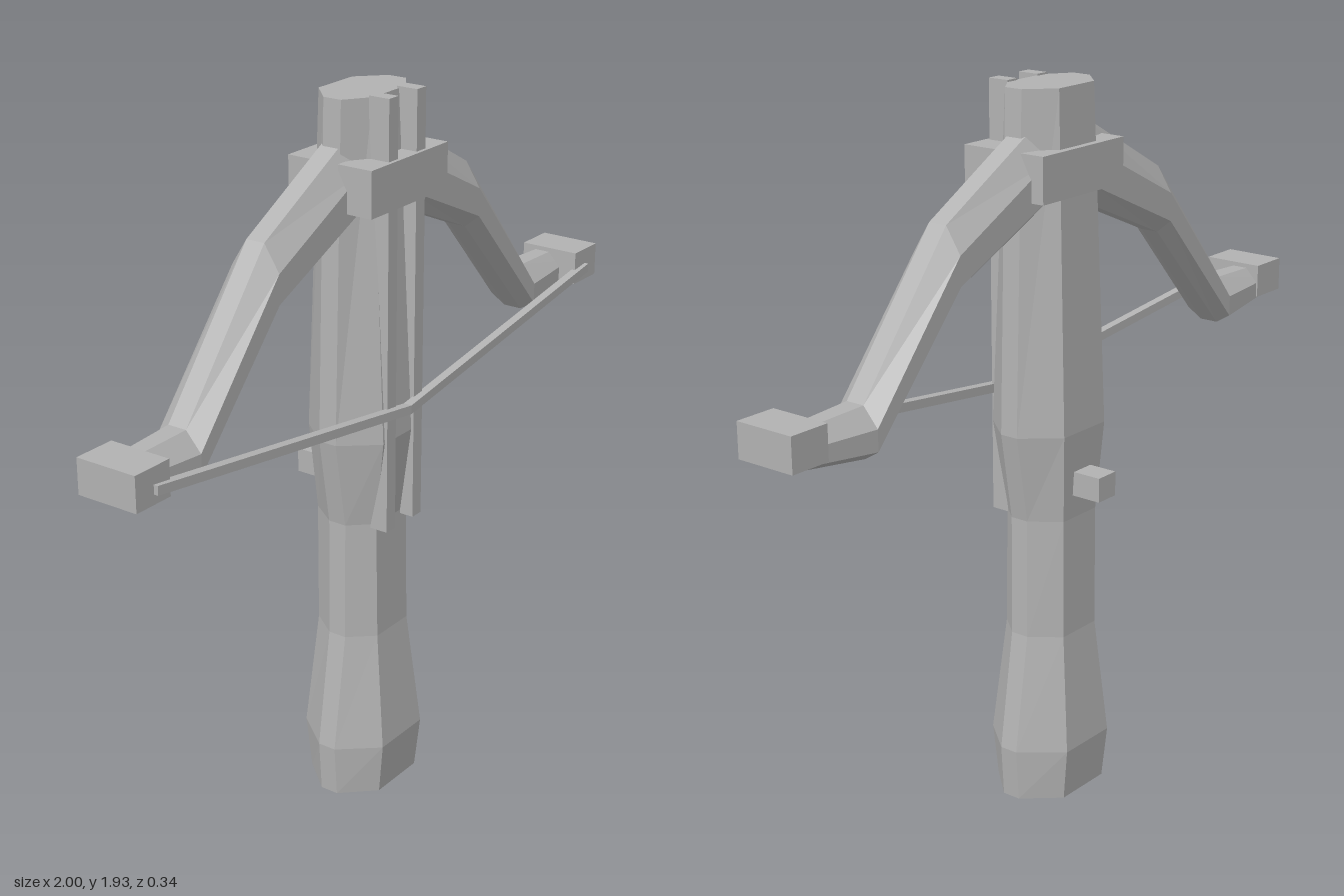
import * as THREE from 'three';

const grey = new THREE.MeshStandardMaterial({ color: 0xb2b2b2 });
grey.name = 'plain grey';

// Skin a list of rings (each counterclockwise seen from the direction of travel) with flat faces and end caps
function loft(rings) {
  const pos = [];
  const tri = (a, b, c) => pos.push(...a, ...b, ...c);
  const n = rings[0].length;
  for (let r = 0; r < rings.length - 1; r++) {
    const a = rings[r], b = rings[r + 1];
    for (let i = 0; i < n; i++) {
      const j = (i + 1) % n;
      tri(a[i], a[j], b[j]);
      tri(a[i], b[j], b[i]);
    }
  }
  const first = rings[0], last = rings[rings.length - 1];
  for (let i = 1; i < n - 1; i++) {
    tri(first[0], first[i + 1], first[i]);
    tri(last[0], last[i], last[i + 1]);
  }
  const g = new THREE.BufferGeometry();
  g.setAttribute('position', new THREE.Float32BufferAttribute(pos, 3));
  g.computeVertexNormals();
  return g;
}

export function createModel() {
  const model = new THREE.Group();
  model.name = 'crossbow';

  const add = (name, geometry) => {
    const mesh = new THREE.Mesh(geometry, grey);
    mesh.name = name;
    model.add(mesh);
    return mesh;
  };
  // Box given by its limits on each axis
  const box = (name, x0, x1, y0, y1, z0, z1) =>
    add(name, new THREE.BoxGeometry(x1 - x0, y1 - y0, z1 - z0))
      .position.set((x0 + x1) / 2, (y0 + y1) / 2, (z0 + z1) / 2);

  // Stock: octagonal sections as y, half width, half width of front flat, front z, back z
  const stock = [
    [0, 0.165, 0.085, 0.135, -0.095],
    [0.145, 0.175, 0.09, 0.15, -0.11],
    [0.47, 0.125, 0.068, 0.115, -0.08],
    [0.8, 0.123, 0.068, 0.11, -0.08],
    [1.04, 0.163, 0.085, 0.143, -0.095],
    [1.93, 0.136, 0.07, 0.096, -0.066],
  ].map(([y, w, f, front, back]) => [
    [w, y, 0.05], [w, y, -0.002], [f, y, back], [-f, y, back],
    [-w, y, -0.002], [-w, y, 0.05], [-f, y, front], [f, y, front],
  ]);
  add('stock', loft(stock));

  // Clamp plates holding the bow
  box('frontClamp', -0.163, 0.163, 1.66, 1.78, 0.06, 0.16);
  box('backClamp', -0.163, 0.163, 1.66, 1.78, -0.09, -0.02);

  // Trigger block on the back
  box('trigger', -0.035, 0.035, 0.866, 0.932, -0.17, -0.07);

  // Bow limb sections: x, centre y, half height, half depth
  const limb = [
    [0.1, 1.722, 0.11, 0.07],
    [0.43, 1.56, 0.09, 0.07],
    [0.73, 1.215, 0.066, 0.07],
    [0.96, 1.226, 0.046, 0.052],
  ];
  const zc = 0.017;
  const limbRing = (x, y, h, d) => [
    [-1, -0.6], [-1, 0.25], [-0.38, 1], [0.38, 1],
    [1, 0.25], [1, -0.6], [0.38, -1], [-0.38, -1],
  ].map(([z, v]) => [x, y + v * h, zc + z * d]);

  for (const s of [1, -1]) {
    const side = s > 0 ? 'left' : 'right';
    const rings = limb.map(([x, y, h, d]) => limbRing(s * x, y, h, d));
    if (s < 0) rings.reverse();
    add(side + 'Limb', loft(rings));

    // Limb tip block
    box(side + 'LimbTip', s * 0.9425 - 0.0575, s * 0.9425 + 0.0575, 1.195, 1.287, -0.045, 0.127);

    // Bolt rail on the front of the stock
    box(side + 'Rail', s * 0.059 - 0.019, s * 0.059 + 0.019, 0.79, 1.935, 0.09, 0.15);
  }

  // Bowstring: thin square cord pulled to a shallow V
  const r = 0.012;
  const cord = [[-0.94, 1.232, 0.127], [0, 1.115, 0.159], [0.94, 1.232, 0.127]];
  add('bowstring', loft(cord.map(([x, y, z]) => [
    [x, y - r, z - r], [x, y + r, z - r], [x, y + r, z + r], [x, y - r, z + r],
  ])));

  return model;
}
